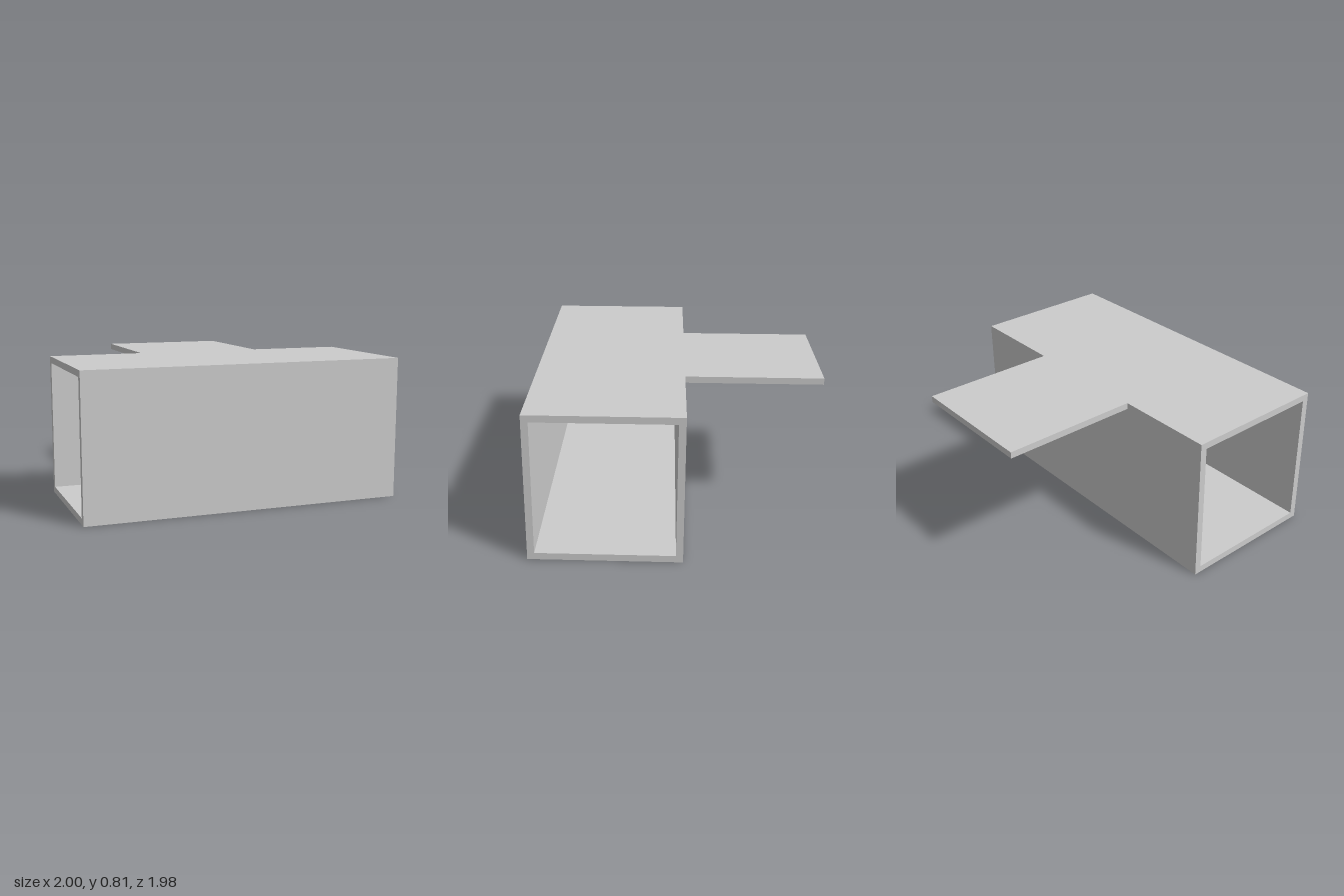
import * as THREE from 'three';

const LENGTH = 1.83, WIDTH = 0.8, HEIGHT = 0.806, WALL = 0.037;
const FLAP = 0.734, FLAP_THICKNESS = 0.035;

// Corners of a rectangle centred on the origin
function rectangle(w, h) {
  return [[-w, -h], [w, -h], [w, h], [-w, h]].map(([x, y]) => new THREE.Vector2(x / 2, y / 2));
}

export function createModel() {
  const grey = new THREE.MeshStandardMaterial({ color: 0xcccccc });
  grey.name = 'grey';

  const model = new THREE.Group();
  model.name = 'sleeveWithFlap';

  // Rectangular sleeve, open at both ends
  const section = new THREE.Shape(rectangle(WIDTH, HEIGHT));
  section.holes.push(new THREE.Path(rectangle(WIDTH - 2 * WALL, HEIGHT - 2 * WALL)));
  const sleeveGeometry = new THREE.ExtrudeGeometry(section, { depth: LENGTH, bevelEnabled: false });
  sleeveGeometry.translate(0, HEIGHT / 2, -LENGTH / 2).rotateY(Math.PI / 2);
  const sleeve = new THREE.Mesh(sleeveGeometry, grey);
  sleeve.name = 'sleeve';

  // Square flap continuing the top panel past the back wall
  const flap = new THREE.Mesh(new THREE.BoxGeometry(FLAP, FLAP_THICKNESS, FLAP), grey);
  flap.name = 'topFlap';
  flap.position.set(0, HEIGHT - FLAP_THICKNESS / 2, -(WIDTH + FLAP) / 2);

  // Whole body stands turned about the vertical
  const body = new THREE.Group();
  body.name = 'body';
  body.add(sleeve, flap);
  body.rotation.y = 0.822;
  body.position.set(0.08, 0, 0.043);
  model.add(body);
  return model;
}
